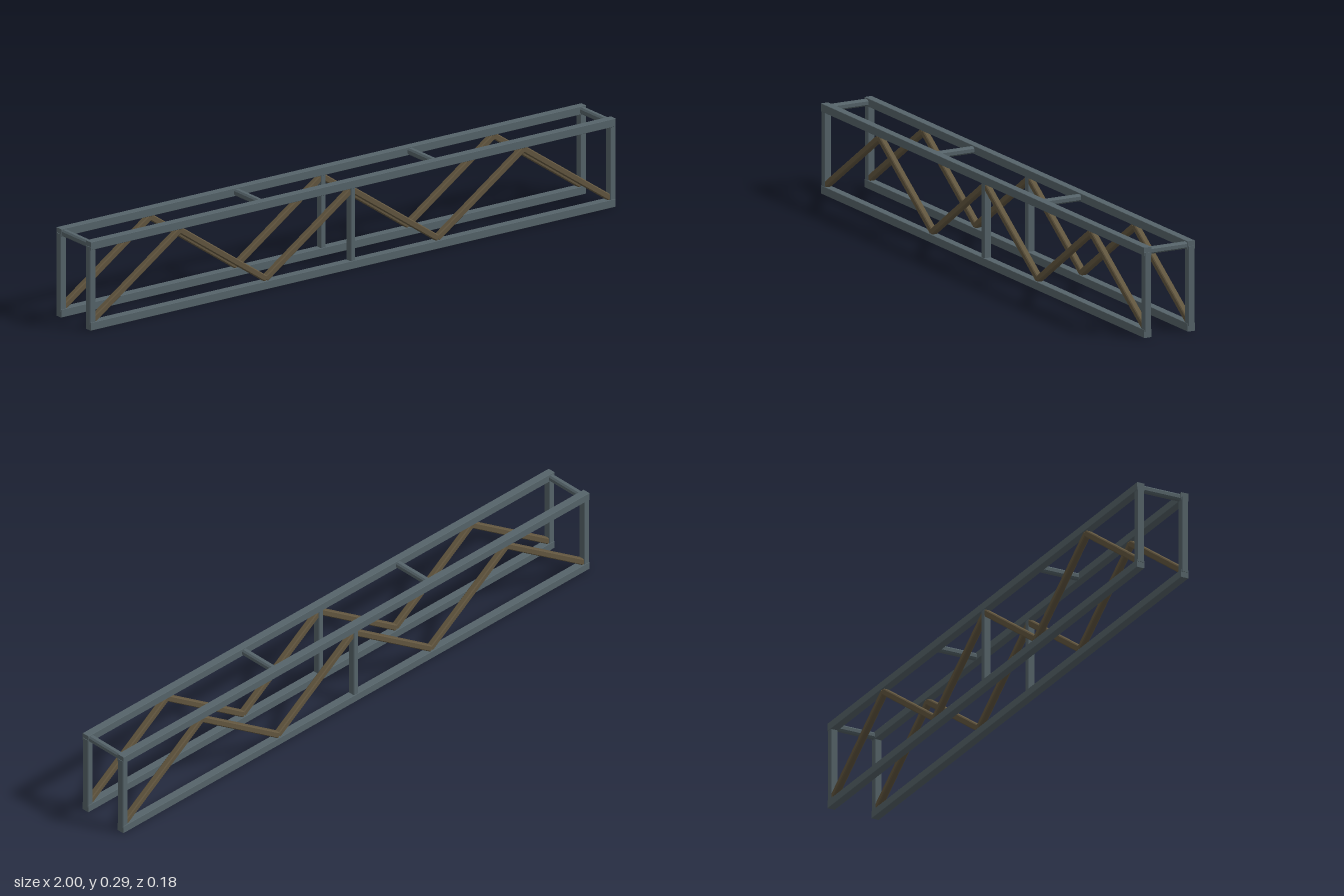
import * as THREE from 'three';

const steel = new THREE.MeshStandardMaterial({ color: 0x56646a });
steel.name = 'blue grey steel';
const bronze = new THREE.MeshStandardMaterial({ color: 0x62563f });
bronze.name = 'brown brace';

// Bar with lightly chamfered edges, running between two points
function bar(name, from, to, width, depth, chamfer, material) {
  const a = new THREE.Vector3(...from), b = new THREE.Vector3(...to);
  const w = width / 2, d = depth / 2, c = chamfer;
  const section = new THREE.Shape([
    [w, -d + c], [w, d - c], [w - c, d], [-w + c, d],
    [-w, d - c], [-w, -d + c], [-w + c, -d], [w - c, -d],
  ].map(([x, y]) => new THREE.Vector2(x, y)));
  const length = a.distanceTo(b);
  const geometry = new THREE.ExtrudeGeometry(section, { depth: length, bevelEnabled: false });
  geometry.translate(0, 0, -length / 2);
  const mesh = new THREE.Mesh(geometry, material);
  mesh.name = name;
  mesh.position.copy(a).add(b).multiplyScalar(0.5);
  mesh.lookAt(b);
  return mesh;
}

export function createModel() {
  const model = new THREE.Group();
  model.name = 'trussFrame';
  const chord = 0.026, sideZ = 0.077, low = 0.013, high = 0.274;

  for (const side of [1, -1]) {
    const z = side * sideZ;
    const truss = new THREE.Group();
    truss.name = side > 0 ? 'frontTruss' : 'backTruss';

    // Long top and bottom chords
    truss.add(bar('bottomChord', [-0.998, low, z], [0.998, low, z], chord, chord, 0.001, steel));
    truss.add(bar('topChord', [-0.998, high, z], [0.998, high, z], chord, chord, 0.001, steel));

    // Upright posts at the ends and the middle
    for (const x of [-0.989, 0, 0.989]) {
      const size = x === 0 ? 0.018 : 0.022;
      const post = bar('post', [x, 0.019, z], [x, 0.271, z], size, 0.024, 0.002, steel);
      // Keep the wider side of the section along z
      post.rotation.set(-Math.PI / 2, 0, 0);
      truss.add(post);
    }

    // Zigzag braces
    for (let i = 0; i < 6; i++) {
      const node = (k) => [-0.98 + k * 0.98 / 3, k % 2 ? 0.256 : 0.032, z];
      truss.add(bar('diagonalBrace', node(i), node(i + 1), 0.02, 0.02, 0.003, bronze));
    }
    model.add(truss);
  }

  // Cross ties joining the two top chords
  for (const x of [-0.985, -0.33, 0.33, 0.985]) {
    model.add(bar('crossTie', [x, 0.273, -sideZ], [x, 0.273, sideZ], 0.021, 0.021, 0.005, steel));
  }
  return model;
}
